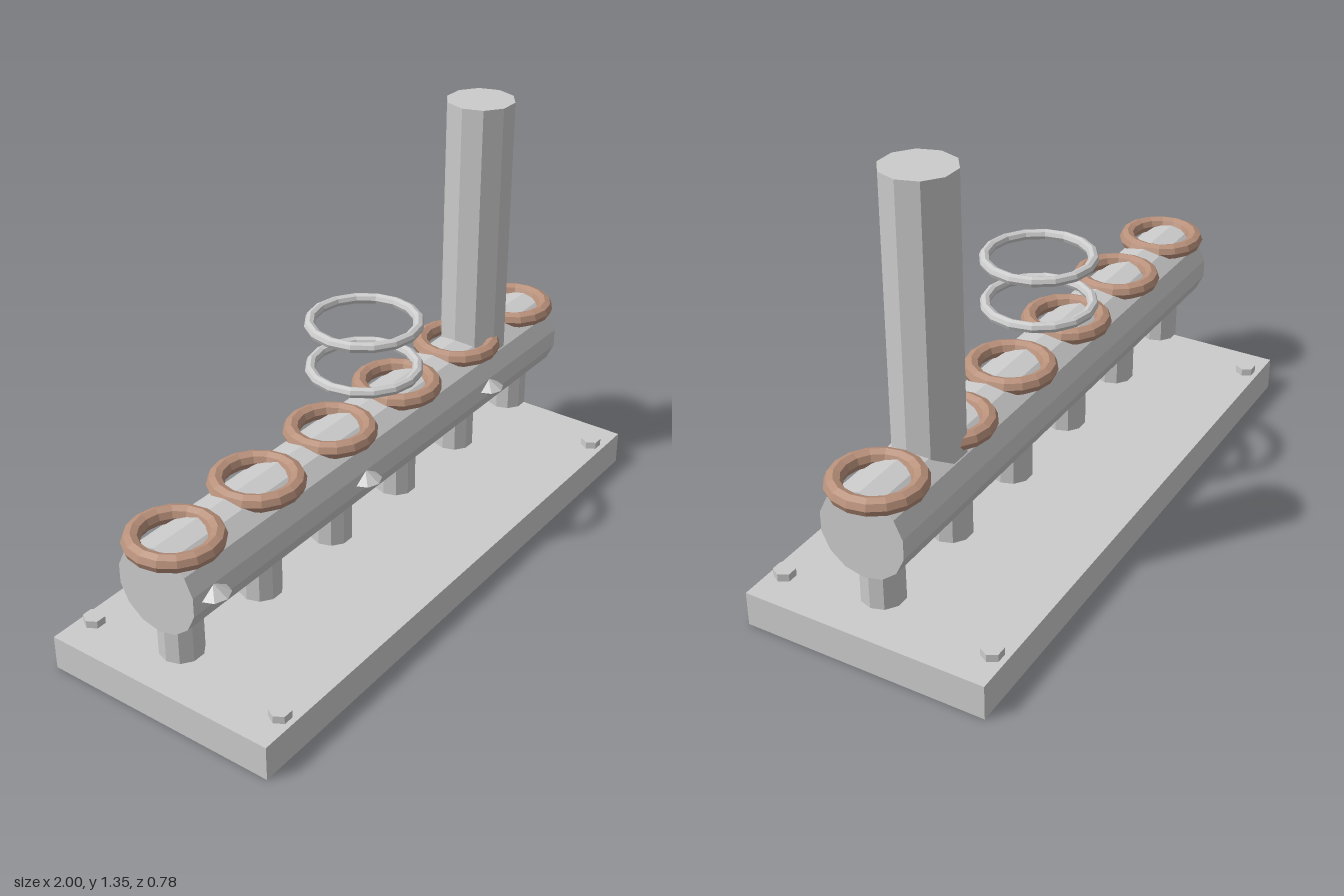
import * as THREE from 'three';

export function createModel() {
  const group = new THREE.Group();
  const grey = new THREE.MeshStandardMaterial({ color: 0xcccccc, flatShading: true });
  const copper = new THREE.MeshStandardMaterial({ color: 0xb8907a, flatShading: true });

  const add = (name, geometry, x, y, z, material = grey) => {
    const mesh = new THREE.Mesh(geometry, material);
    mesh.name = name;
    mesh.position.set(x, y, z);
    group.add(mesh);
    return mesh;
  };
  // Upright prism with a corner on the x axis
  const prism = (r, h, sides) => new THREE.CylinderGeometry(r, r, h, sides).rotateY(Math.PI / 2);
  // Ring lying flat
  const ring = (r, tube) => new THREE.TorusGeometry(r, tube, 8, 16).rotateX(Math.PI / 2);

  // Base plate with a bolt at each corner
  add('basePlate', new THREE.BoxGeometry(1.95, 0.11, 0.78), 0, 0.055, 0);
  const boltGeometry = prism(0.033, 0.034, 6);
  for (const x of [-0.857, 0.857])
    for (const z of [-0.344, 0.344]) add('bolt', boltGeometry, x, 0.117, z);

  // Horizontal barrel, a corner at top and bottom
  const barrel = new THREE.CylinderGeometry(0.135, 0.135, 1.88, 14).rotateZ(Math.PI / 2);
  barrel.rotateX(Math.PI / 2);
  add('barrel', barrel, 0, 0.425, 0);

  // Six stubs below and six copper rings on top; a knob on every other station
  const stubGeometry = prism(0.0655, 0.17, 10);
  const copperRing = ring(0.1165, 0.0265);
  const knobGeometry = new THREE.SphereGeometry(0.051, 8, 2).scale(1, 0.63, 1);
  for (let i = 0; i < 6; i++) {
    const x = -0.857 + i * 0.3428;
    add('stub', stubGeometry, x, 0.26, 0);
    add('copperRing', copperRing, x, 0.548, 0, copper);
    if (i % 2 === 0) add('knob', knobGeometry, x, 0.424, 0.127);
  }

  // Tall stack
  add('stack', prism(0.108, 0.85, 10), 0.612, 0.925, 0);

  // Two floating rings above the middle
  const thinRing = ring(0.163, 0.0165);
  for (const y of [0.685, 0.834]) add('floatingRing', thinRing, 0, y, 0);

  return group;
}
